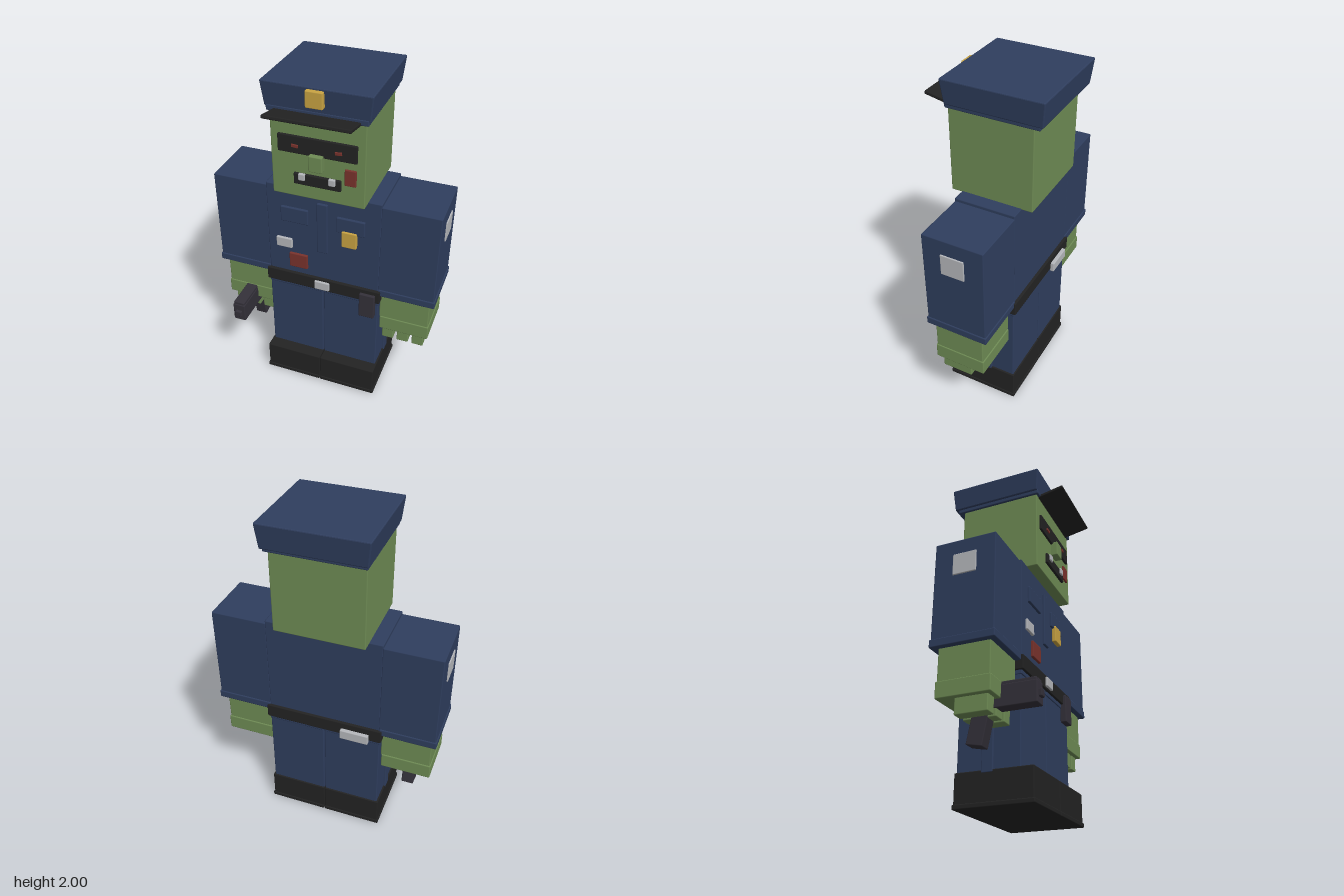
import * as THREE from 'three';
import { RoundedBoxGeometry } from 'three/addons/geometries/RoundedBoxGeometry.js';

function paint(name, color) {
  const m = new THREE.MeshStandardMaterial({ color });
  m.name = name;
  return m;
}

export function createModel() {
  const blue = paint('uniform blue', 0x2f3e5e);
  const green = paint('skin green', 0x6f8c55);
  const black = paint('leather black', 0x232323);
  const gunGrey = paint('gun grey', 0x34313a);
  const gold = paint('gold', 0xcaa443);
  const silver = paint('silver', 0xb6b8bc);
  const red = paint('wound red', 0x7a332d);

  const model = new THREE.Group();
  model.name = 'officer';

  const group = (name, parent = model) => {
    const g = new THREE.Group();
    g.name = name;
    parent.add(g);
    return g;
  };

  // Slightly bevelled box given by its extents on each axis
  const box = (parent, name, mat, [x0, x1], [y0, y1], [z0, z1], bevel = 0.006) => {
    const size = [x1 - x0, y1 - y0, z1 - z0];
    const r = Math.min(bevel, Math.min(...size) * 0.3);
    const mesh = new THREE.Mesh(new RoundedBoxGeometry(...size, 1, r), mat);
    mesh.position.set((x0 + x1) / 2, (y0 + y1) / 2, (z0 + z1) / 2);
    mesh.name = name;
    parent.add(mesh);
    return mesh;
  };
  // Extent mirrored to the given side (+1 = left, -1 = right)
  const side = (s, a, b) => (s > 0 ? [a, b] : [-b, -a]);

  // Head and face
  const head = group('head');
  box(head, 'skull', green, [-0.26, 0.26], [1.355, 1.845], [-0.285, 0.195]);
  box(head, 'eyeBand', black, [-0.217, 0.217], [1.62, 1.72], [0.19, 0.208]);
  box(head, 'nose', green, [-0.038, 0.038], [1.543, 1.635], [0.19, 0.236]);
  box(head, 'mouth', black, [-0.132, 0.132], [1.44, 1.505], [0.19, 0.21]);
  box(head, 'cheekWound', red, [0.15, 0.213], [1.483, 1.577], [0.19, 0.206]);
  for (const s of [1, -1]) {
    const eye = box(head, 'eye', red, side(s, 0.1, 0.138), [1.656, 1.674], [0.206, 0.215]);
    eye.rotation.z = s * 0.08;
    box(head, 'tooth', silver, side(s, 0.065, 0.103), [1.47, 1.51], [0.2, 0.22]);
  }

  // Cap: band, crown that flares upward, tilted visor and badge
  const cap = group('cap');
  box(cap, 'capBand', blue, [-0.272, 0.272], [1.838, 1.87], [-0.32, 0.208]);
  const crown = box(cap, 'capCrown', blue, [-0.295, 0.295], [1.86, 2], [-0.352, 0.218]);
  const p = crown.geometry.attributes.position;
  for (let i = 0; i < p.count; i++) {
    const k = 0.975 + 0.025 * (p.getY(i) / 0.07);
    p.setX(i, p.getX(i) * k);
    p.setZ(i, p.getZ(i) * k);
  }
  crown.geometry.computeVertexNormals();
  const visor = box(cap, 'visor', black, [-0.232, 0.232], [1.847, 1.867], [0.185, 0.35]);
  visor.rotation.x = -0.19;
  box(cap, 'capBadge', gold, [-0.047, 0.047], [1.9, 1.99], [0.2, 0.24]);

  // Torso with shirt details
  const torso = group('torso');
  box(torso, 'shirt', blue, [-0.337, 0.337], [0.72, 1.362], [-0.224, 0.132]);
  box(torso, 'placket', blue, [-0.032, 0.032], [0.967, 1.295], [0.125, 0.146]);
  for (const s of [1, -1])
    box(torso, 'pocket', blue, side(s, 0.084, 0.249), [1.135, 1.232], [0.125, 0.146]);
  box(torso, 'chestBadge', gold, [0.118, 0.206], [1.05, 1.152], [0.13, 0.157]);
  box(torso, 'nameTag', silver, [-0.284, -0.186], [0.95, 1.015], [0.125, 0.146]);
  box(torso, 'shirtWound', red, [-0.206, -0.093], [0.82, 0.917], [0.125, 0.146]);

  // Belt and what hangs on it
  const belt = group('belt');
  box(belt, 'beltStrap', black, [-0.352, 0.352], [0.692, 0.776], [-0.24, 0.15]);
  box(belt, 'buckle', silver, [-0.046, 0.046], [0.705, 0.762], [0.14, 0.163]);
  box(belt, 'holster', gunGrey, [0.233, 0.326], [0.585, 0.75], [0.13, 0.167]);
  box(belt, 'cuffs', silver, [-0.28, -0.11], [0.675, 0.737], [-0.262, -0.235]);

  for (const s of [1, -1]) {
    // Arm: sleeve, cuff, patch, forearm, palm and three fingers
    const arm = group(s > 0 ? 'leftArm' : 'rightArm');
    box(arm, 'sleeve', blue, side(s, 0.333, 0.662), [0.76, 1.345], [-0.224, 0.13]);
    box(arm, 'sleeveCuff', blue, side(s, 0.335, 0.668), [0.742, 0.787], [-0.23, 0.136]);
    box(arm, 'sleevePatch', silver, side(s, 0.655, 0.669), [1.135, 1.258], [-0.114, 0.022]);
    box(arm, 'forearm', green, side(s, 0.342, 0.637), [0.56, 0.75], [-0.19, 0.102]);
    box(arm, 'palm', green, side(s, 0.347, 0.642), [0.475, 0.566], [-0.196, 0.107]);
    for (let i = 0; i < 3; i++) {
      const x = 0.36 + i * 0.0925;
      box(arm, 'finger', green, side(s, x, x + 0.07), [0.388, 0.485], [-0.1, 0.082]);
    }

    // Leg: trousers, waistband, side stripe, boot and sole
    const leg = group(s > 0 ? 'leftLeg' : 'rightLeg');
    box(leg, 'trouser', blue, side(s, 0.003, 0.34), [0.16, 0.7], [-0.222, 0.132]);
    box(leg, 'waistband', blue, side(s, 0.003, 0.343), [0.668, 0.7], [-0.227, 0.137]);
    box(leg, 'sideStripe', blue, side(s, 0.335, 0.352), [0.17, 0.66], [-0.08, -0.015]);
    box(leg, 'boot', black, side(s, 0.001, 0.35), [0.005, 0.185], [-0.23, 0.205]);
    box(leg, 'sole', black, side(s, 0.001, 0.356), [0, 0.026], [-0.236, 0.211]);
  }

  // Pistol in the right hand
  const pistol = group('pistol');
  box(pistol, 'pistolBody', gunGrey, [-0.527, -0.45], [0.43, 0.547], [0, 0.297]);
  box(pistol, 'pistolSlide', gunGrey, [-0.523, -0.454], [0.54, 0.564], [0, 0.292]);
  box(pistol, 'muzzle', gunGrey, [-0.509, -0.468], [0.464, 0.506], [0.28, 0.314]);
  const grip = box(pistol, 'grip', gunGrey, [-0.525, -0.452], [0.255, 0.46], [-0.06, 0.03]);
  grip.rotation.x = 0.2;

  return model;
}
